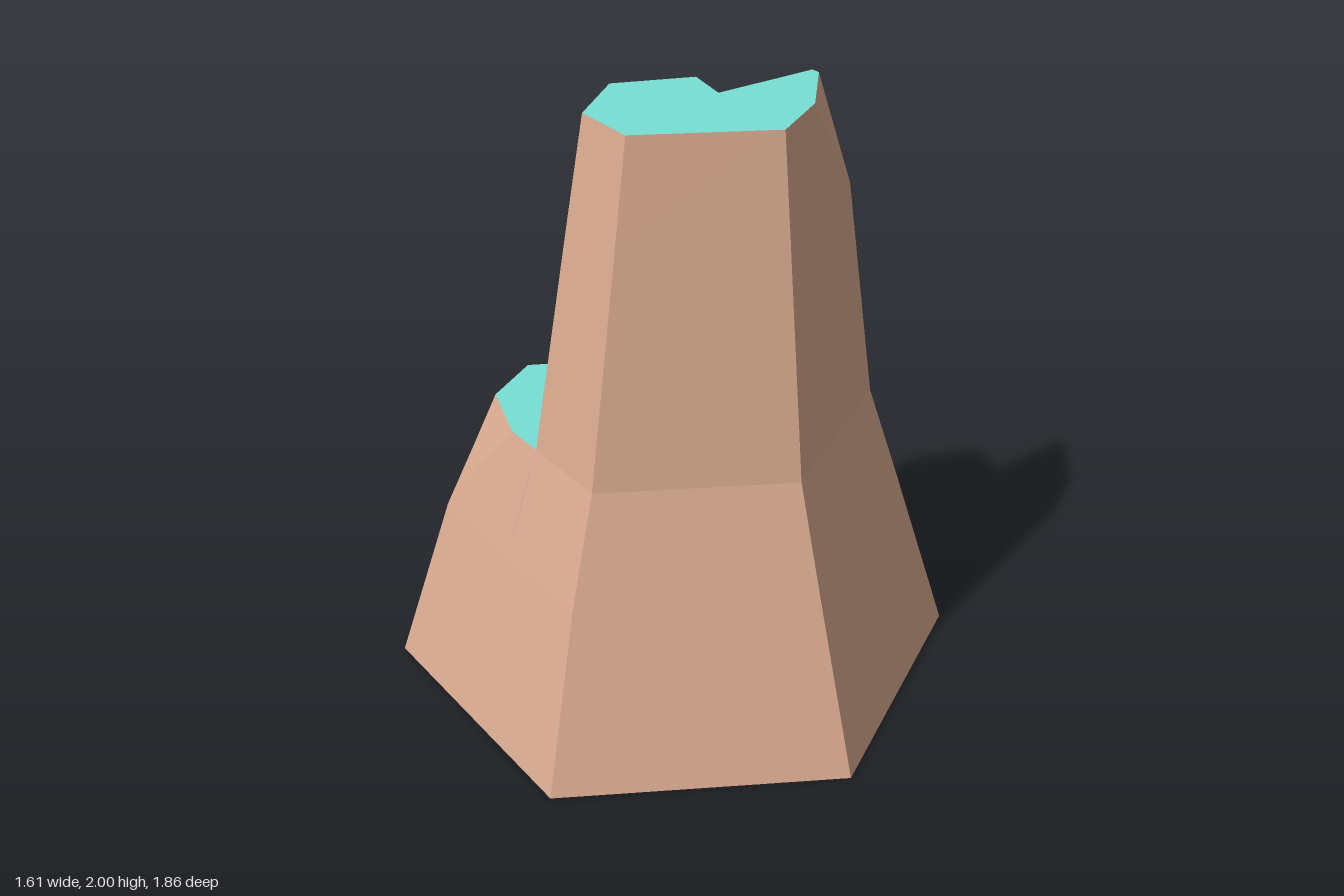
import * as THREE from 'three';

const rock = new THREE.MeshStandardMaterial({ color: 0xdaab90 });
rock.name = 'tan rock';
const grass = new THREE.MeshStandardMaterial({ color: 0x78e0d4 });
grass.name = 'teal top';
const under = new THREE.MeshStandardMaterial({ color: 0xc4c4c4 });
under.name = 'grey underside';

// Faceted walls between rings of [x, z] points, ordered counterclockwise from above.
// A doubled point in a ring closes a corner cut to a tip.
function walls(rings) {
  const out = [];
  for (let r = 0; r + 1 < rings.length; r++) {
    const low = rings[r], high = rings[r + 1], n = low.pts.length;
    for (let i = 0; i < n; i++) {
      const j = (i + 1) % n;
      const v = (ring, k) => new THREE.Vector3(ring.pts[k][0], ring.y, ring.pts[k][1]);
      const a = v(low, i), b = v(low, j), c = v(high, j), d = v(high, i);
      for (const t of [[a, b, c], [a, c, d]]) {
        if (new THREE.Triangle(...t).getArea() < 1e-6) continue;
        t.forEach((p) => out.push(p.x, p.y, p.z));
      }
    }
  }
  const geo = new THREE.BufferGeometry();
  geo.setAttribute('position', new THREE.Float32BufferAttribute(out, 3));
  geo.computeVertexNormals();
  return geo;
}

// Flat face closing a ring, facing up or down
function cap({ y, pts }, up) {
  const s = up ? -1 : 1;
  const geo = new THREE.ShapeGeometry(new THREE.Shape(pts.map(([x, z]) => new THREE.Vector2(x, s * z))));
  return geo.rotateX(s * Math.PI / 2).translate(0, y, 0);
}

function hexagon(y, radius) {
  const pts = [];
  for (let i = 0; i < 6; i++) {
    const a = i * Math.PI / 3;
    pts.push([Math.sin(a) * radius, Math.cos(a) * radius]);
  }
  return { y, pts };
}

function tier(name, rings) {
  const group = new THREE.Group();
  group.name = name;
  const side = new THREE.Mesh(walls(rings), rock);
  side.name = name + 'Walls';
  const top = new THREE.Mesh(cap(rings[rings.length - 1], true), grass);
  top.name = name + 'Top';
  group.add(side, top);
  return group;
}

export function createModel() {
  const model = new THREE.Group();
  model.name = 'steppedRock';

  // Hexagonal base with the lowest ledge
  const foot = hexagon(0, 0.93);
  const base = tier('base', [foot, hexagon(0.57, 0.75)]);
  const bottom = new THREE.Mesh(cap(foot, false), under);
  bottom.name = 'underside';
  base.add(bottom);

  // Middle ledge at the back right, with two cut corners
  const ledge = tier('middleLedge', [
    { y: 0.57, pts: [[0.093, -0.09], [0.13, -0.33], [0.13, -0.33], [-0.32, -0.565],
      [-0.65, -0.375], [-0.65, -0.375], [-0.65, 0], [-0.27, -0.25]] },
    { y: 0.76, pts: [[0.087, -0.075], [0.11, -0.3], [0.11, -0.3], [-0.295, -0.51],
      [-0.55, -0.363], [-0.592, -0.255], [-0.592, 0.01], [-0.26, -0.23]] },
    { y: 0.93, pts: [[0.08, -0.06], [0.09, -0.11], [-0.02, -0.33], [-0.27, -0.465],
      [-0.46, -0.355], [-0.54, -0.12], [-0.54, 0.02], [-0.25, -0.21]] },
  ]);

  // Tall front tower with a notched back and one cut corner
  const tower = tier('tower', [
    { y: 0.57, pts: [[0, 0.75], [0.65, 0.375], [0.65, 0.375], [0.65, 0.155], [0.05, 0.155],
      [0.093, -0.09], [-0.27, -0.25], [-0.65, 0], [-0.65, 0.375]] },
    { y: 0.93, pts: [[0, 0.64], [0.54, 0.33], [0.54, 0.33], [0.54, 0.158], [0.045, 0.158],
      [0.08, -0.06], [-0.25, -0.21], [-0.54, 0.02], [-0.54, 0.33]] },
    { y: 1.67, pts: [[0, 0.554], [0.43, 0.307], [0.43, 0.307], [0.43, 0.166], [0.035, 0.166],
      [0.066, -0.005], [-0.202, -0.12], [-0.43, 0.061], [-0.43, 0.307]] },
    { y: 2, pts: [[0, 0.515], [0.2, 0.4], [0.38, 0.2], [0.38, 0.17], [0.03, 0.17],
      [0.06, 0.02], [-0.18, -0.08], [-0.38, 0.08], [-0.38, 0.295]] },
  ]);

  model.add(base, ledge, tower);
  return model;
}
